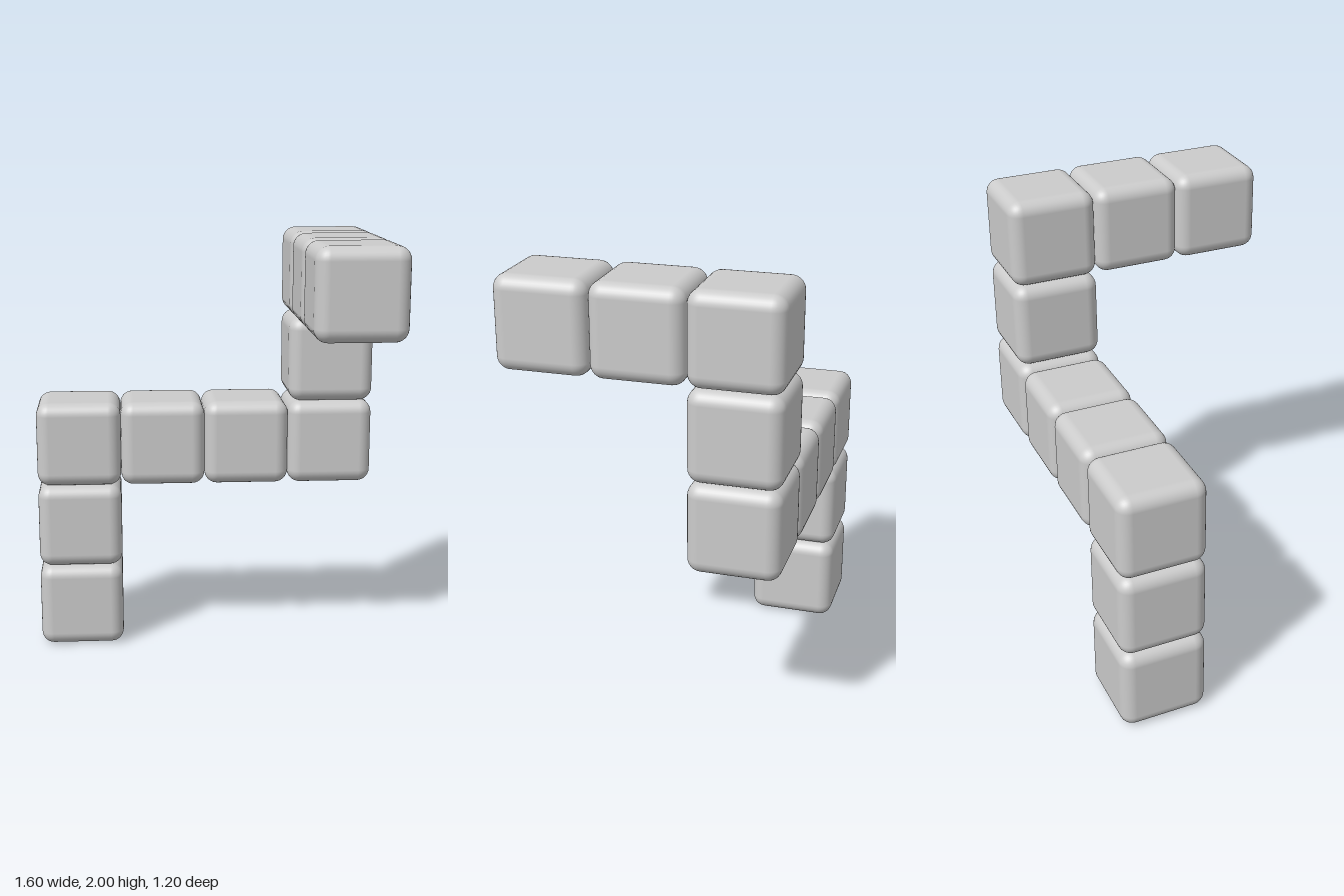
import * as THREE from 'three';
import { RoundedBoxGeometry } from 'three/addons/geometries/RoundedBoxGeometry.js';

const SIZE = 0.4;

export function createModel() {
  const model = new THREE.Group();
  model.name = 'bentCubeChain';
  const material = new THREE.MeshStandardMaterial({ color: 0xcccccc });
  const cube = new RoundedBoxGeometry(SIZE, SIZE, SIZE, 4, 0.06);

  // A straight run of touching cubes from a start point along a direction
  function addRun(name, start, direction, count) {
    const run = new THREE.Group();
    run.name = name;
    for (let i = 0; i < count; i++) {
      const mesh = new THREE.Mesh(cube, material);
      mesh.name = `${name}Cube${i + 1}`;
      mesh.position.set(...start).addScaledVector(direction, i * SIZE);
      run.add(mesh);
    }
    model.add(run);
  }

  const X = new THREE.Vector3(1, 0, 0);
  const Y = new THREE.Vector3(0, 1, 0);
  const Z = new THREE.Vector3(0, 0, 1);

  addRun('lowerColumn', [-0.6, 0.2, -0.4], Y, 2);
  addRun('crossBar', [-0.6, 1.0, -0.4], X, 4);
  addRun('upperColumn', [0.6, 1.4, -0.4], Y, 1);
  addRun('forwardArm', [0.6, 1.8, -0.4], Z, 3);

  return model;
}
